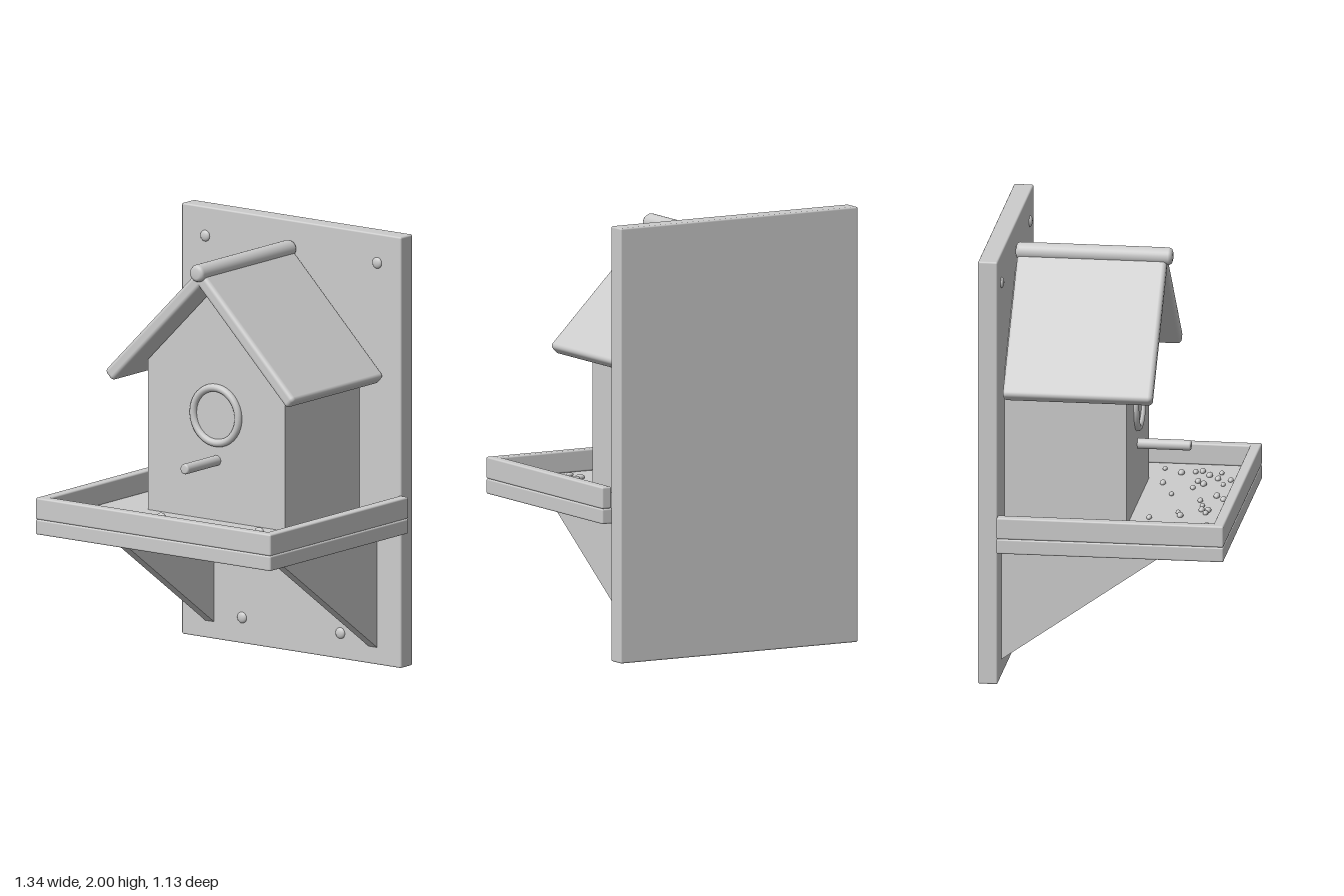
import * as THREE from 'three';
import { RoundedBoxGeometry } from 'three/addons/geometries/RoundedBoxGeometry.js';

export function createModel() {
  const model = new THREE.Group();
  const grey = new THREE.MeshStandardMaterial({ color: 0xcccccc });
  grey.name = 'plain grey';

  const add = (name, geometry, x = 0, y = 0, z = 0) => {
    const mesh = new THREE.Mesh(geometry, grey);
    mesh.name = name;
    mesh.position.set(x, y, z);
    model.add(mesh);
    return mesh;
  };
  // Softly bevelled board given by its extents
  const board = (name, x0, x1, y0, y1, z0, z1, r = 0.008) =>
    add(name, new RoundedBoxGeometry(x1 - x0, y1 - y0, z1 - z0, 2, r),
      (x0 + x1) / 2, (y0 + y1) / 2, (z0 + z1) / 2);
  // Straight-sided prism along z
  const prism = (points, depth) => new THREE.ExtrudeGeometry(
    new THREE.Shape(points.map(([x, y]) => new THREE.Vector2(x, y))),
    { depth, bevelEnabled: false });
  // Rod along z with softened ends
  const rod = (name, r, y, z0, z1, bevel) => {
    const h = z1 - z0;
    const profile = [[0, 0], [r - bevel, 0], [r - bevel * 0.3, bevel * 0.3], [r, bevel],
      [r, h - bevel], [r - bevel * 0.3, h - bevel * 0.3], [r - bevel, h], [0, h]];
    const g = new THREE.LatheGeometry(profile.map(([a, b]) => new THREE.Vector2(a, b)), 28);
    return add(name, g.rotateX(Math.PI / 2), 0, y, z0);
  };

  // Wall board and feeding tray
  board('backBoard', -0.625, 0.625, 0, 2, -0.565, -0.475);
  board('trayBase', -0.67, 0.67, 0.632, 0.702, -0.475, 0.565);
  board('trayFrontRim', -0.67, 0.67, 0.702, 0.802, 0.515, 0.565);

  // House body with gable
  add('houseBody', prism([[-0.39, 0.7], [0.39, 0.7], [0.39, 1.4], [0, 1.79], [-0.39, 1.4]], 0.56),
    0, 0, -0.475);

  // Mirrored parts
  for (const s of [-1, 1]) {
    board('traySideRim', s * 0.645 - 0.025, s * 0.645 + 0.025, 0.702, 0.802, -0.475, 0.53);

    const roof = add('roofPanel', new RoundedBoxGeometry(0.735, 0.064, 0.685, 3, 0.02),
      s * 0.26, 1.586, -0.1225);
    roof.rotation.z = -s * Math.PI / 4;

    // Triangular bracket: the profile's x axis is turned to point forward
    const bracket = prism([[-0.475, 0.08], [0.31, 0.632], [-0.475, 0.632]], 0.05);
    add('bracket', bracket.rotateY(-Math.PI / 2), s * 0.465 + 0.025, 0, 0);

    for (const [x, y] of [[0.49, 1.865], [0.28, 0.12]]) {
      const screw = add('screwHead', new THREE.SphereGeometry(0.026, 20, 12), s * x, y, -0.475);
      screw.scale.z = 0.5;
    }
  }
  rod('ridgeCap', 0.04, 1.872, -0.472, 0.245, 0.018);

  // Entrance and perch
  add('entranceRing', new THREE.TorusGeometry(0.128, 0.018, 12, 48), 0, 1.19, 0.09);
  add('entranceDisc', new THREE.CylinderGeometry(0.12, 0.12, 0.006, 40).rotateX(Math.PI / 2),
    0, 1.19, 0.087);
  rod('perch', 0.024, 0.98, 0.07, 0.33, 0.008);

  // Scattered seeds, as x and z on the tray floor
  const seeds = [[-0.53, 0.24], [-0.42, 0.22], [-0.505, 0.31], [-0.465, 0.37], [-0.435, 0.355],
    [-0.525, 0.455], [-0.345, 0.445], [-0.2, 0.305], [-0.155, 0.29], [-0.15, 0.415],
    [-0.1, 0.39], [-0.105, 0.42], [-0.035, 0.385], [0.045, 0.365], [0.075, 0.467],
    [0.125, 0.43], [0.13, 0.222], [0.24, 0.305], [0.345, 0.315], [0.305, 0.345],
    [0.305, 0.435], [0.38, 0.46], [0.395, 0.4], [0.445, 0.355], [0.485, 0.405],
    [0.49, 0.285], [0.505, 0.315], [0.47, 0.222], [0.525, 0.14], [-0.25, 0.17], [0.3, 0.16]];
  const seedGeometry = new THREE.SphereGeometry(1, 14, 10);
  seeds.forEach(([x, z], i) => {
    const k = 0.85 + 0.1 * (i % 4);
    add('seed', seedGeometry, x, 0.708, z).scale.set(0.022 * k, 0.012 * k, 0.013 * k);
  });

  return model;
}
